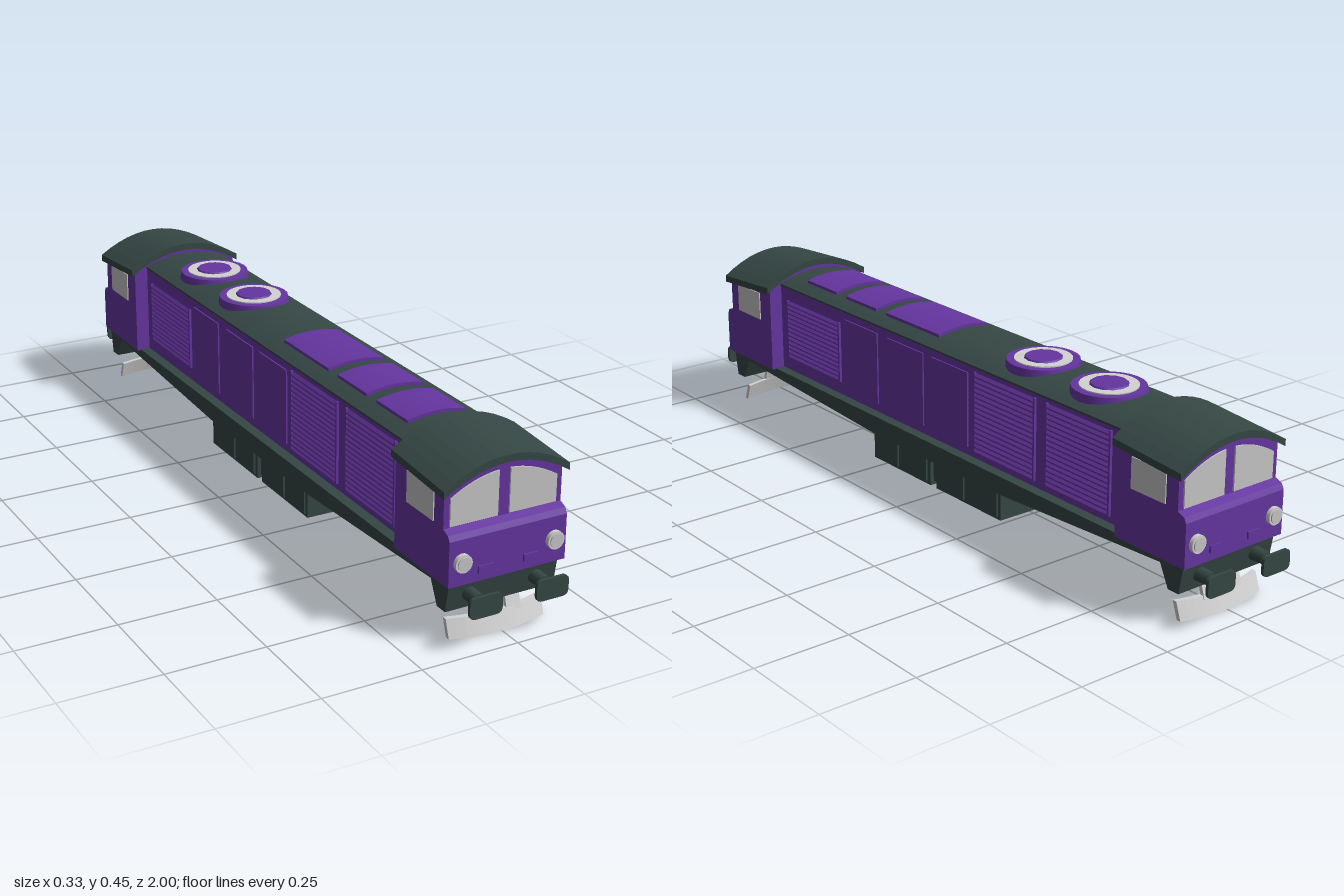
import * as THREE from 'three';

const mat = (name, color) => Object.assign(new THREE.MeshStandardMaterial({ color }), { name });

export function createModel() {
  const purple = mat('purple paint', 0x6535a0);
  const dark = mat('dark slate', 0x354744);
  const glass = mat('window grey', 0xc6c6c6);
  const steel = mat('light steel', 0xd2d2d2);

  const model = new THREE.Group();
  model.name = 'locomotive';

  const add = (parent, name, geo, material, x = 0, y = 0, z = 0) => {
    const m = new THREE.Mesh(geo, material);
    m.name = name;
    m.position.set(x, y, z);
    parent.add(m);
    return m;
  };
  // Box given by its limits
  const box = (parent, name, material, x0, x1, y0, y1, z0, z1) =>
    add(parent, name, new THREE.BoxGeometry(x1 - x0, y1 - y0, z1 - z0), material,
      (x0 + x1) / 2, (y0 + y1) / 2, (z0 + z1) / 2);
  const shapeOf = pts => new THREE.Shape(pts.map(p => new THREE.Vector2(...p)));
  // Outline in x, y pulled from z0 to z1
  const alongZ = (pts, z0, z1) =>
    new THREE.ExtrudeGeometry(shapeOf(pts), { depth: z1 - z0, bevelEnabled: false }).translate(0, 0, z0);
  // Outline in z, y pulled across the width
  const alongX = (pts, width) =>
    new THREE.ExtrudeGeometry(shapeOf(pts), { depth: width, bevelEnabled: false })
      .rotateY(-Math.PI / 2).translate(width / 2, 0, 0);
  // Points of a shallow arch, from x0 to x1
  const arch = (x0, x1, top, k, n = 12) => Array.from({ length: n + 1 }, (_, i) => {
    const x = x0 + (x1 - x0) * i / n;
    return [x, top - k * x * x];
  });
  const band = (w, top, bottom, k) => [...arch(w, -w, top, k), ...arch(-w, w, bottom, k)];
  // Raise the upper part of the cab towards its rear
  const tilt = geo => {
    const p = geo.attributes.position;
    for (let i = 0; i < p.count; i++)
      if (p.getY(i) > 0.3) p.setY(i, p.getY(i) + (0.935 - p.getZ(i)) * 0.073);
    geo.computeVertexNormals();
    return geo;
  };

  // Underframe with deepened middle and end beams
  const side = [[0.935, 0.153], [0.922, 0.078], [0.888, 0.078], [0.86, 0.135], [0.25, 0.103]];
  add(model, 'underframe',
    alongX([...side, ...side.map(([z, y]) => [-z, y]).reverse()].reverse(), 0.29), dark);

  // Tanks between the bogies
  box(model, 'frontTank', dark, -0.13, 0.13, 0.025, 0.12, 0.012, 0.26);
  box(model, 'rearTank', dark, -0.13, 0.13, 0.025, 0.12, -0.275, -0.012);
  box(model, 'tankLink', dark, -0.12, 0.12, 0.035, 0.12, -0.012, 0.012);
  for (const s of [-1, 1])
    for (const [a, b] of [[0.15, 0.25], [0.025, 0.14], [-0.13, -0.025], [-0.265, -0.14]])
      box(model, 'tankPanel', dark, s * 0.1325 - 0.0025, s * 0.1325 + 0.0025, 0.032, 0.1, a, b);

  // Engine room and its roof
  box(model, 'body', purple, -0.117, 0.117, 0.152, 0.4, -0.725, 0.725);
  add(model, 'bodyRoof',
    alongZ([...arch(0.119, -0.119, 0.422, 1.6), [-0.119, 0.394], [0.119, 0.394]], -0.725, 0.725), dark);

  // Roof hatches
  for (const [a, b] of [[0.04, 0.27], [0.315, 0.455], [0.5, 0.64]])
    add(model, 'roofHatch', alongZ(band(0.078, 0.43, 0.418, 1.6), a, b), purple);

  // Roof fans
  for (const z of [-0.28, -0.52]) {
    add(model, 'fanBase', new THREE.CylinderGeometry(0.092, 0.096, 0.026, 24), purple, 0, 0.416, z);
    add(model, 'fanRing', new THREE.CylinderGeometry(0.073, 0.073, 0.004, 24), steel, 0, 0.43, z);
    add(model, 'fanHub', new THREE.CylinderGeometry(0.046, 0.05, 0.006, 12), purple, 0, 0.433, z);
  }

  // One end with one side of the body; turned round for the other
  const half = new THREE.Group();
  half.name = 'frontHalf';

  // Cab
  add(half, 'cab', tilt(alongZ(
    [[-0.155, 0.15], [0.155, 0.15], ...arch(0.155, -0.155, 0.418, 2)], 0.718, 0.92)), purple);
  add(half, 'cabNose', alongX(
    [[0.91, 0.15], [0.947, 0.15], [0.947, 0.262], [0.94, 0.275], [0.92, 0.283], [0.91, 0.283]].reverse()
      .reverse(), 0.31), purple);
  add(half, 'cabRoof', tilt(alongZ(band(0.165, 0.434, 0.416, 2), 0.714, 0.935)), dark);

  for (const s of [-1, 1]) {
    // Cab windows
    const pane = [[0.015, 0.286], [0.14, 0.286], ...arch(0.14, 0.015, 0.396, 2.2, 8)];
    const pts = s > 0 ? pane : pane.map(([x, y]) => [-x, y]).reverse();
    add(half, 'windscreen', alongZ(pts, 0.917, 0.924), glass);
    box(half, 'cabSideWindow', glass, s * 0.155 - 0.003, s * 0.155 + 0.003, 0.288, 0.366, 0.77, 0.882);

    // Lamps
    add(half, 'headlightRim', new THREE.CylinderGeometry(0.022, 0.022, 0.014, 20).rotateX(Math.PI / 2),
      steel, s * 0.122, 0.207, 0.951);
    add(half, 'headlightLens', new THREE.CylinderGeometry(0.017, 0.017, 0.004, 20).rotateX(Math.PI / 2),
      glass, s * 0.122, 0.207, 0.959);
    box(half, 'markerPanel', purple, s * 0.06 - 0.019, s * 0.06 + 0.019, 0.17, 0.188, 0.945, 0.952);

    // Buffers
    add(half, 'bufferSleeve', new THREE.CylinderGeometry(0.016, 0.018, 0.045, 12).rotateX(Math.PI / 2),
      dark, s * 0.088, 0.115, 0.945);
    add(half, 'bufferStem', new THREE.CylinderGeometry(0.011, 0.011, 0.03, 12).rotateX(Math.PI / 2),
      dark, s * 0.088, 0.115, 0.98);
    const head = new THREE.Shape();
    const w = 0.043, h = 0.026, r = 0.016;
    head.moveTo(-w + r, -h).lineTo(w - r, -h).quadraticCurveTo(w, -h, w, -h + r)
      .lineTo(w, h - r).quadraticCurveTo(w, h, w - r, h).lineTo(-w + r, h)
      .quadraticCurveTo(-w, h, -w, h - r).lineTo(-w, -h + r).quadraticCurveTo(-w, -h, -w + r, -h);
    add(half, 'bufferHead', new THREE.ExtrudeGeometry(head,
      { depth: 0.008, bevelEnabled: false, curveSegments: 5 }), dark, s * 0.088, 0.115, 0.992);

    // Plough bracket
    const bracket = box(half, 'ploughBracket', steel, s * 0.041 - 0.019, s * 0.041 + 0.019,
      0.035, 0.085, 0.904, 0.914);
    bracket.rotation.x = -0.3;
  }

  // Curved plough leaning forward at the foot
  const plough = new THREE.ExtrudeGeometry(shapeOf(band(0.128, 0.937, 0.925, 1.3)),
    { depth: 0.045, bevelEnabled: false }).rotateX(Math.PI / 2).translate(0, 0.046, 0);
  const pp = plough.attributes.position;
  for (let i = 0; i < pp.count; i++) pp.setZ(i, pp.getZ(i) - pp.getY(i) * 0.35);
  plough.computeVertexNormals();
  add(half, 'plough', plough, steel);

  // Louvres: rim and sloping slats
  for (const [a, b, y0, y1] of [[0.43, 0.68, 0.19, 0.36], [-0.39, -0.16, 0.17, 0.385], [-0.66, -0.435, 0.17, 0.385]]) {
    for (const z of [a, b])
      box(half, 'louvreRim', purple, 0.115, 0.124, y0, y1, z - 0.003, z + 0.003);
    const n = Math.round((y1 - y0) / 0.0135);
    const step = (y1 - y0) / n;
    for (let i = 0; i < n; i++) {
      const y = y0 + i * step;
      const slat = new THREE.ExtrudeGeometry(
        shapeOf([[0.116, y], [0.124, y], [0.124, y + step * 0.3], [0.116, y + step * 0.9]]),
        { depth: b - a, bevelEnabled: false }).translate(0, 0, a);
      add(half, 'louvreSlat', slat, purple);
    }
  }

  // Side doors
  for (const [a, b] of [[0.255, 0.405], [0.055, 0.21], [-0.13, 0.02]])
    box(half, 'sideDoor', purple, 0.114, 0.121, 0.175, 0.375, a, b);

  const rear = half.clone();
  rear.name = 'rearHalf';
  rear.rotation.y = Math.PI;
  model.add(half, rear);
  return model;
}
